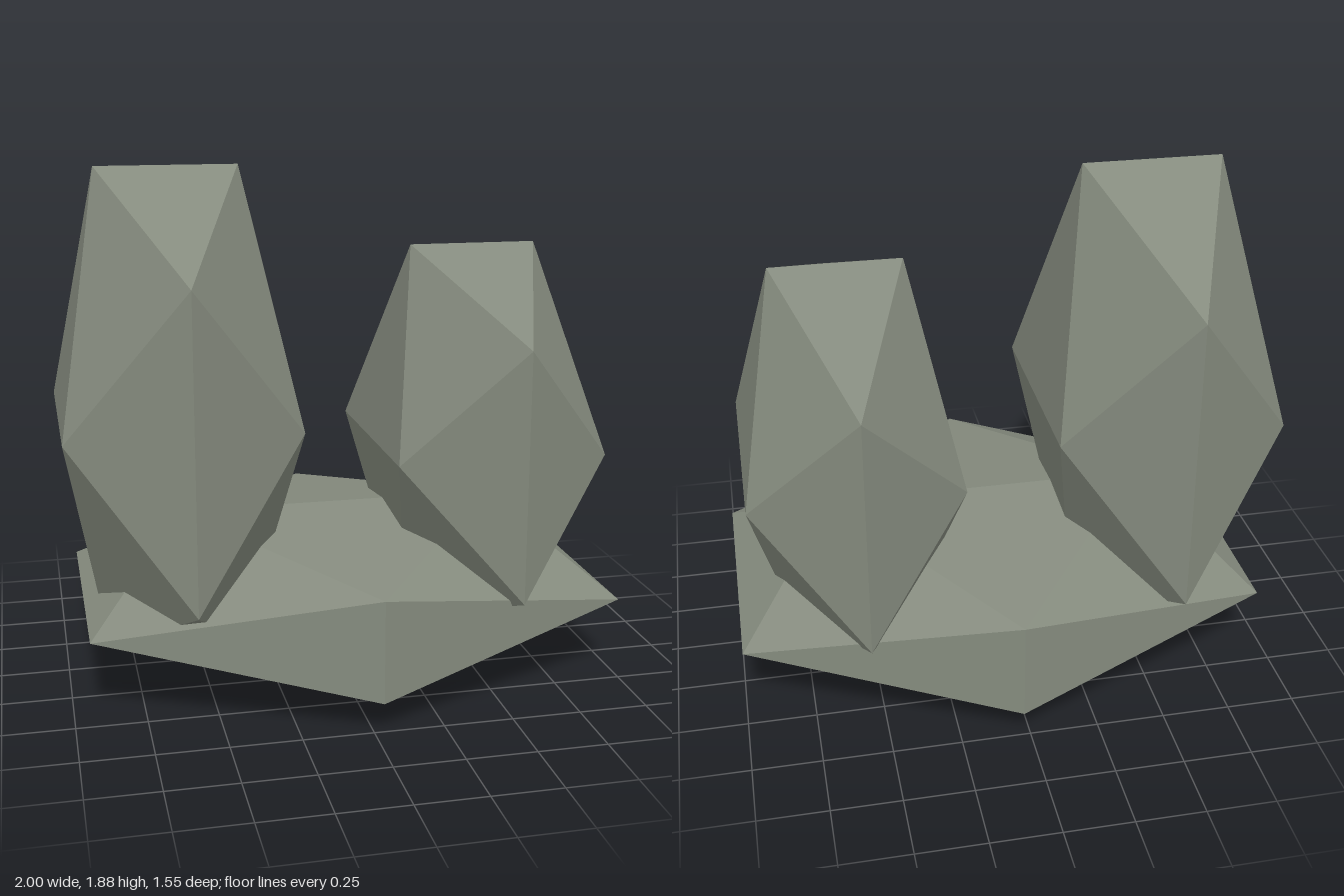
import * as THREE from 'three';

const stone = new THREE.MeshStandardMaterial({ color: 0x858b7e, flatShading: true });
stone.name = 'grey green stone';

// A boulder: a twenty-sided solid stretched along each axis
function boulder(name, position, scale) {
  const mesh = new THREE.Mesh(new THREE.IcosahedronGeometry(1, 0), stone);
  mesh.name = name;
  mesh.position.set(...position);
  mesh.scale.set(...scale);
  return mesh;
}

export function createModel() {
  const group = new THREE.Group();
  group.name = 'rockCluster';
  group.add(
    boulder('baseRock', [0.029, 0.3, 0], [1.137, 0.353, 0.911]),
    boulder('tallRock', [-0.585, 0.985, 0], [0.488, 1.052, 0.787]),
    boulder('shortRock', [0.553, 0.845, 0], [0.455, 0.858, 0.804]),
  );
  return group;
}
